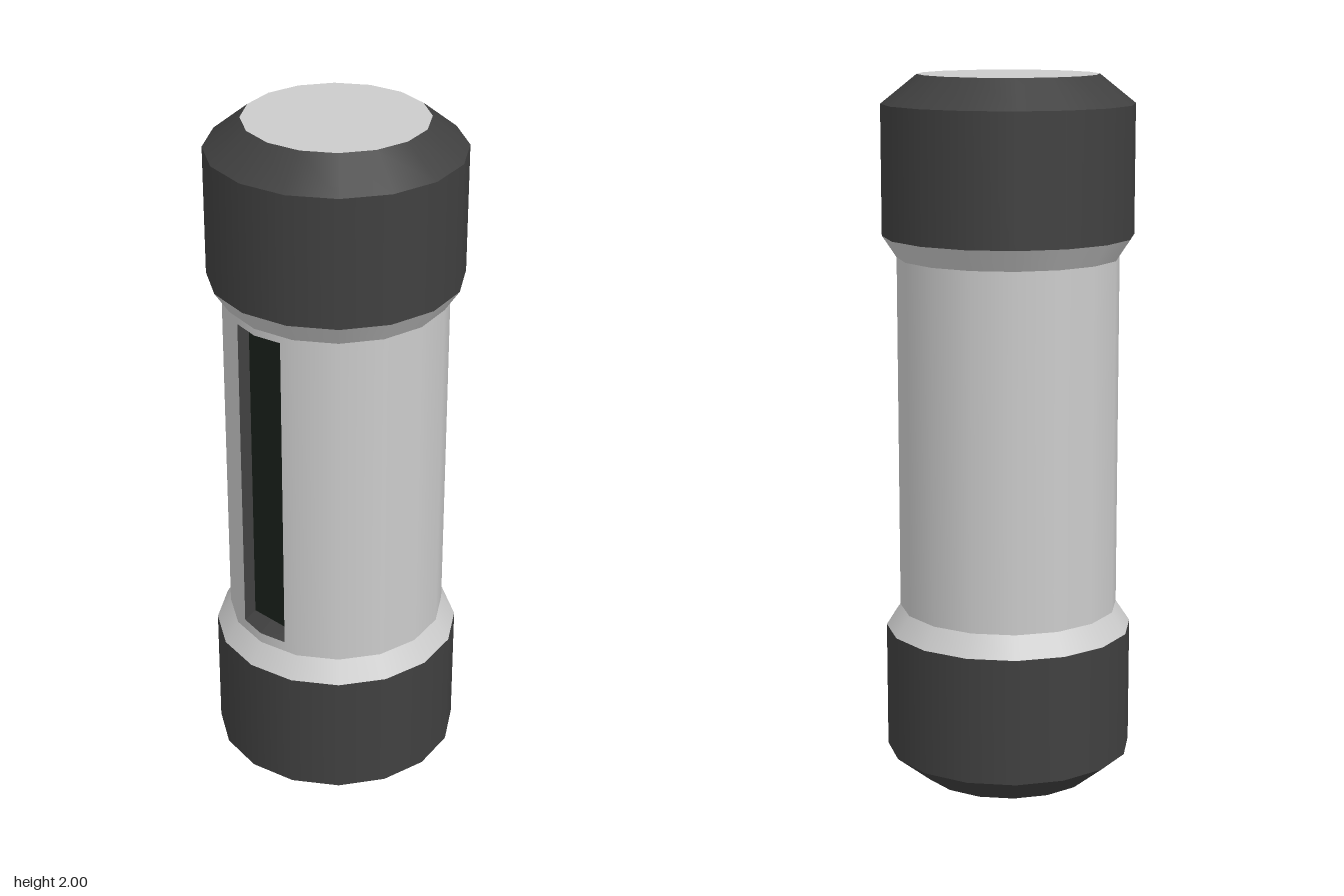
import * as THREE from 'three';

const SIDES = 16, STEP = Math.PI * 2 / SIDES;
const R = 0.31, Y0 = 0.5, Y1 = 1.5;
const SLOT_X = 0.08, SLOT_Y0 = 0.53, SLOT_Y1 = 1.48;

const mat = (color) => new THREE.MeshStandardMaterial({ color, side: THREE.DoubleSide });

export function createModel() {
  const root = new THREE.Group();
  const grey = mat(0xcccccc), dark = mat(0x404040), glass = mat(0x18201a);

  const add = (parent, name, geometry, material) => {
    const mesh = new THREE.Mesh(geometry, material);
    mesh.name = name;
    parent.add(mesh);
    return mesh;
  };
  // one smooth ring between two radii, so that edges between rings stay sharp
  const ring = (r0, y0, r1, y1, start = 0, count = SIDES) => new THREE.LatheGeometry(
    [new THREE.Vector2(r0, y0), new THREE.Vector2(r1, y1)], count, start * STEP, count * STEP);
  // quads from lists of four corners, counter-clockwise from outside
  const quads = (list, round) => {
    const pos = [], idx = [];
    list.forEach((q, i) => {
      q.forEach((p) => pos.push(...p));
      idx.push(...[0, 1, 2, 0, 2, 3].map((k) => k + i * 4));
    });
    const g = new THREE.BufferGeometry();
    g.setAttribute('position', new THREE.Float32BufferAttribute(pos, 3));
    g.setIndex(idx);
    g.computeVertexNormals();
    if (round) {
      const p = g.attributes.position, n = new THREE.Vector3();
      for (let i = 0; i < p.count; i++) {
        n.set(p.getX(i), 0, p.getZ(i)).normalize();
        g.attributes.normal.setXYZ(i, n.x, n.y, n.z);
      }
    }
    return g;
  };

  // tube body, with its two front facets left open for the slot
  const body = new THREE.Group();
  body.name = 'body';
  root.add(body);
  add(body, 'tube', ring(R, Y0, R, Y1, 1, SIDES - 2), grey);

  // front facets around the slot
  const edgeX = R * Math.sin(STEP);
  const frontZ = (x) => R - Math.abs(x) * Math.tan(STEP / 2);
  const patch = (x0, x1, y0, y1) => [[x0, y0, frontZ(x0)], [x1, y0, frontZ(x1)],
    [x1, y1, frontZ(x1)], [x0, y1, frontZ(x0)]];
  const facets = [patch(-edgeX, -SLOT_X, Y0, Y1), patch(SLOT_X, edgeX, Y0, Y1)];
  for (const [a, b] of [[Y0, SLOT_Y0], [SLOT_Y1, Y1]]) {
    facets.push(patch(-SLOT_X, 0, a, b), patch(0, SLOT_X, a, b));
  }
  add(body, 'slotSurround', quads(facets, true), grey);

  // tapered slot walls and the dark window at their foot
  const rim = [[-SLOT_X, SLOT_Y0], [0, SLOT_Y0], [SLOT_X, SLOT_Y0],
    [SLOT_X, SLOT_Y1], [0, SLOT_Y1], [-SLOT_X, SLOT_Y1]];
  const outer = rim.map(([x, y]) => [x, y, frontZ(x)]);
  const inner = rim.map(([x, y]) => [x * 0.84, y < 1 ? y + 0.025 : y - 0.015, 0.265]);
  add(body, 'slotWalls', quads(outer.map((p, i) => {
    const j = (i + 1) % outer.length;
    return [p, outer[j], inner[j], inner[i]];
  })), dark);
  add(body, 'window', quads([[inner[0], inner[2], inner[3], inner[5]]]), glass);

  // matching end caps
  for (const [name, top] of [['bottomCap', false], ['topCap', true]]) {
    const cap = new THREE.Group();
    cap.name = name;
    add(cap, 'collar', ring(0.35, 0.44, R, Y0), grey);
    add(cap, 'sleeve', ring(0.35, 0.08, 0.35, 0.44), dark);
    add(cap, 'chamfer', ring(0.25, 0, 0.35, 0.08), dark);
    const disc = add(cap, 'endDisc', new THREE.CircleGeometry(0.25, SIDES), grey);
    disc.rotation.x = Math.PI / 2;
    if (top) {
      cap.rotation.x = Math.PI;
      cap.position.y = 2;
    }
    root.add(cap);
  }
  return root;
}
